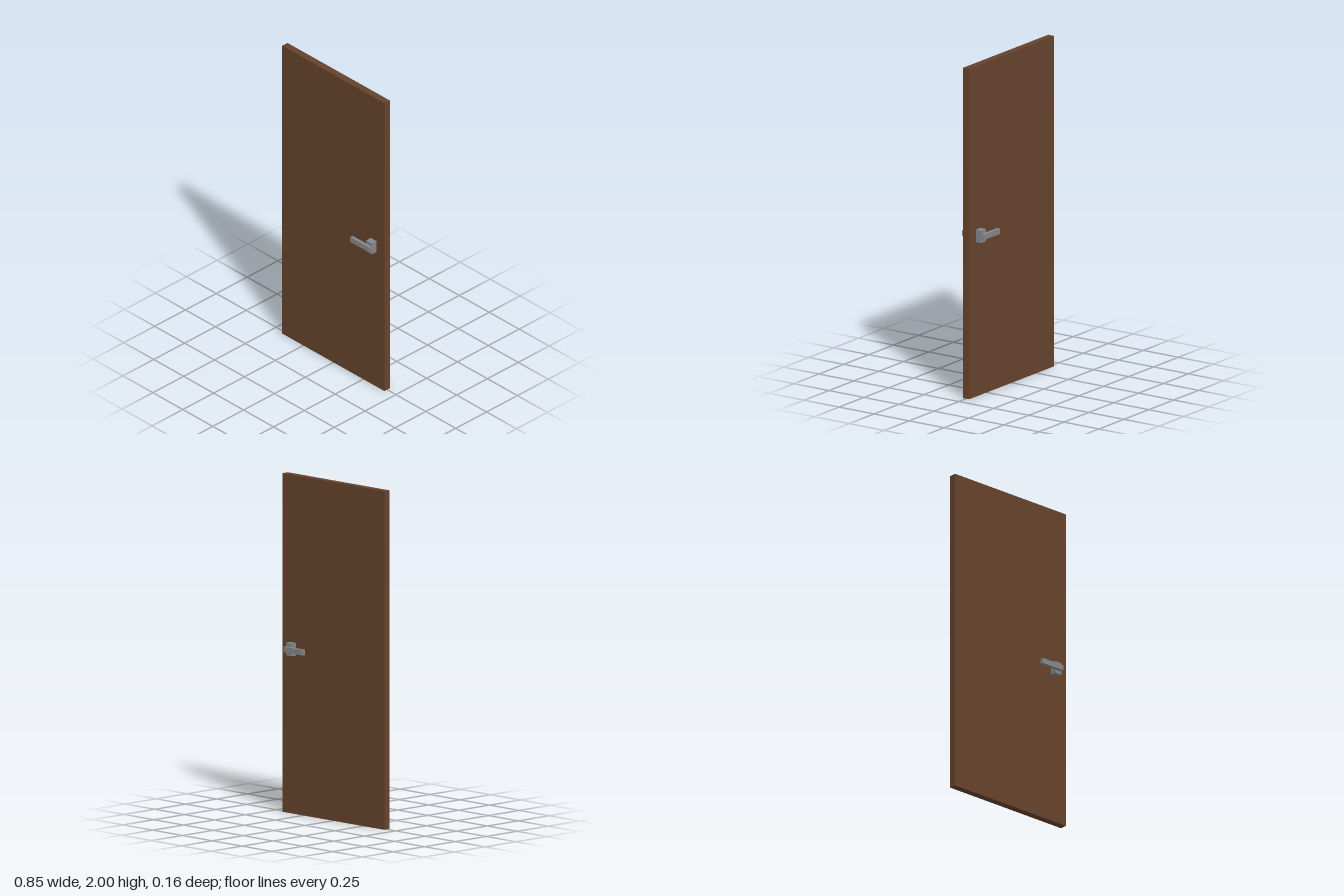
import * as THREE from 'three';

export function createModel() {
  const wood = new THREE.MeshStandardMaterial({ name: 'brown wood', color: 0x66432c });
  const metal = new THREE.MeshStandardMaterial({ name: 'grey metal', color: 0x85888b });
  const model = new THREE.Group();
  model.name = 'door';

  // Box given by its minimum and maximum corners
  const box = (name, material, min, max) => {
    const size = max.map((v, i) => v - min[i]);
    const mesh = new THREE.Mesh(new THREE.BoxGeometry(...size), material);
    mesh.position.set(...max.map((v, i) => (v + min[i]) / 2));
    mesh.name = name;
    return mesh;
  };

  // Door leaf
  const half = 0.0215;
  model.add(box('doorPanel', wood, [-0.427, 0, -half], [0.427, 2, half]));

  // Matching handles on both faces: mounting block and lever
  for (const [side, s] of [['front', 1], ['back', -1]]) {
    const part = (name, x0, y0, z0, x1, y1, z1) =>
      box(name, metal, [x0, y0, Math.min(s * z0, s * z1)], [x1, y1, Math.max(s * z0, s * z1)]);
    const handle = new THREE.Group();
    handle.name = side + 'Handle';
    handle.add(
      part('mountingBlock', 0.313, 0.936, half, 0.36, 1.011, 0.059),
      part('lever', 0.2, 0.957, 0.059, 0.36, 0.99, 0.079)
    );
    model.add(handle);
  }
  return model;
}
